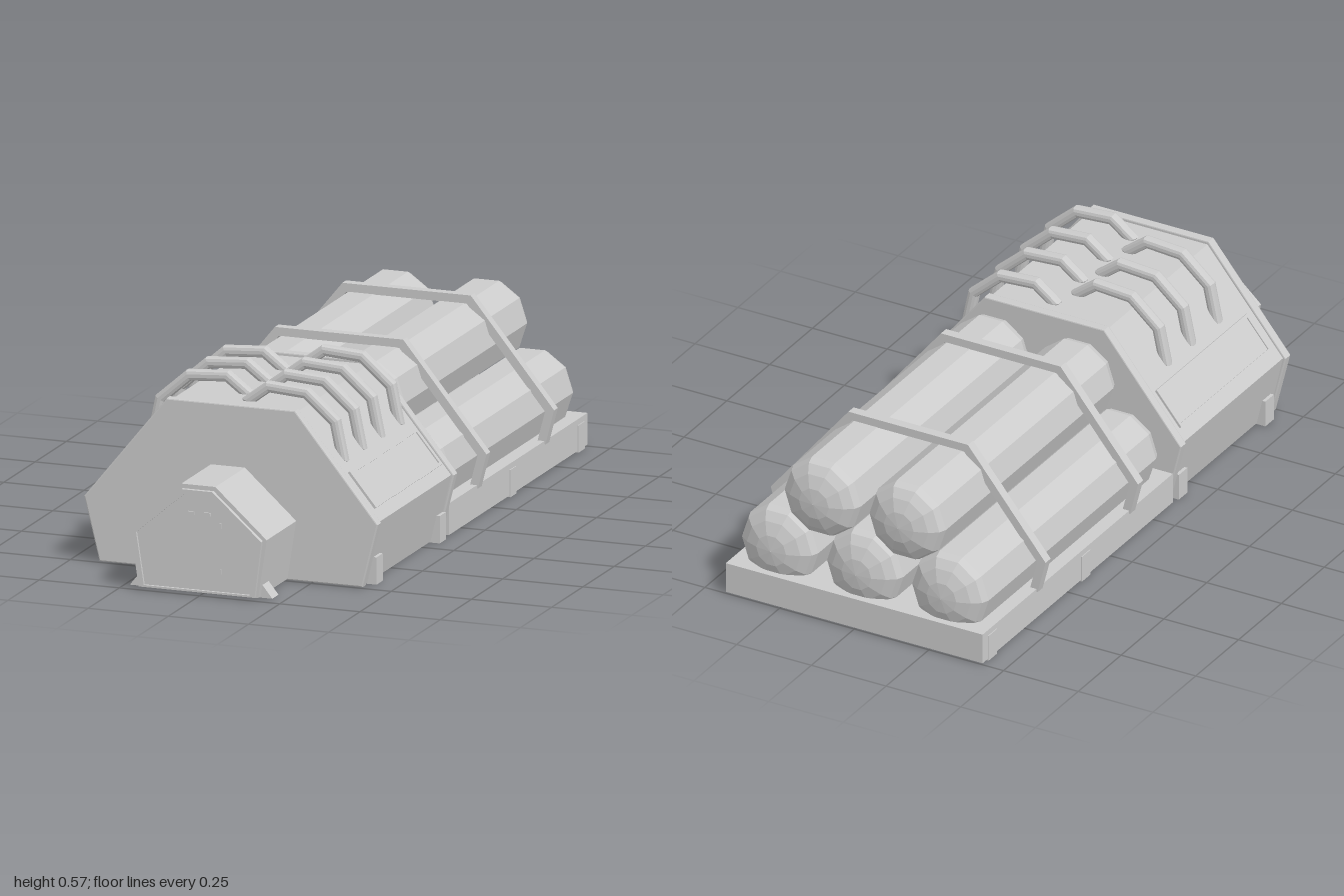
import * as THREE from 'three';

const material = new THREE.MeshStandardMaterial({ color: 0xcccccc, flatShading: true, side: THREE.DoubleSide });

function add(parent, name, geometry, x = 0, y = 0, z = 0) {
  const mesh = new THREE.Mesh(geometry, material);
  mesh.name = name;
  mesh.position.set(x, y, z);
  parent.add(mesh);
  return mesh;
}

const box = (w, h, d) => new THREE.BoxGeometry(w, h, d);

// Symmetric outline from the points of its +x half, listed bottom to top
const mirrored = (half) => [...half, ...half.map(([x, y]) => [-x, y]).reverse()];
const toShape = (pts) => new THREE.Shape(pts.map(([x, y]) => new THREE.Vector2(x, y)));

// Extrusion along z, centred on z = 0
function slab(pts, depth, bevel = 0, hole = null) {
  const shape = toShape(pts);
  if (hole) shape.holes.push(toShape(hole));
  const g = new THREE.ExtrudeGeometry(shape, {
    depth: depth - 2 * bevel, bevelEnabled: bevel > 0, bevelSize: bevel,
    bevelThickness: bevel, bevelOffset: -bevel, bevelSegments: 2,
  });
  return g.translate(0, 0, bevel - depth / 2);
}

// Closed band outline: a counter-clockwise path plus its inward mitred offset
function band(path, t) {
  const p = path.map(([x, y]) => new THREE.Vector2(x, y));
  const normal = (a, b) => new THREE.Vector2(a.y - b.y, b.x - a.x).normalize();
  const inner = p.map((v, i) => {
    const n1 = normal(p[Math.max(i - 1, 0)], p[Math.max(i, 1)]);
    const last = p.length - 1;
    const n2 = normal(p[Math.min(i, last - 1)], p[Math.min(i + 1, last)]);
    const m = n1.clone().add(n2).normalize();
    m.multiplyScalar(t / m.dot(n1)).add(v);
    return [m.x, m.y];
  });
  return [...path, ...inner.reverse()];
}

function buildHall(root) {
  const hall = new THREE.Group();
  hall.name = 'hall';
  root.add(hall);

  // Open-bottomed shell between two slightly larger end walls
  const shell = mirrored([[0.404, 0.003], [0.449, 0.195], [0.196, 0.503]]);
  const wall = mirrored([[0.41, 0.003], [0.458, 0.195], [0.2, 0.513]]);
  add(hall, 'hallShell', slab(band(shell, 0.012), 0.6), 0, 0, 0.43);
  add(hall, 'frontWall', slab(wall, 0.03, 0.004), 0, 0, 0.735);
  add(hall, 'rearWall', slab(wall, 0.03, 0.004), 0, 0, 0.125);
  const doorway = mirrored([[0.15, 0.02], [0.18, 0.17], [0.045, 0.29]]);
  add(hall, 'innerDoor', slab(doorway, 0.006), 0, 0, 0.718);

  // Framed panels on the sloping sides
  const tilt = Math.atan2(0.308, 0.253);
  for (const side of [1, -1]) {
    const panel = new THREE.Group();
    panel.name = side > 0 ? 'leftPanel' : 'rightPanel';
    panel.position.set(side * 0.383, 0.276, 0.425);
    panel.rotation.z = -side * tilt;
    hall.add(panel);
    add(panel, 'panelPlate', box(0.11, 0.006, 0.51));
    for (const e of [1, -1]) {
      add(panel, 'panelLongEdge', box(0.01, 0.014, 0.53), e * 0.06);
      add(panel, 'panelShortEdge', box(0.13, 0.014, 0.01), 0, 0, e * 0.26);
    }
  }

  // Bent roof pipes, staggered between the two sides
  const bend = [[0.326, 0.35], [0.3, 0.472], [0.203, 0.557], [0.073, 0.566], [-0.004, 0.508]];
  const pipe = slab(band(bend, 0.032), 0.036, 0.011);
  for (const z of [0.2, 0.355, 0.5, 0.645]) add(hall, 'leftRoofPipe', pipe, 0, 0, z);
  for (const z of [0.28, 0.42, 0.575]) add(hall, 'rightRoofPipe', pipe, 0, 0, z).rotation.y = Math.PI;
}

function buildEntrance(root) {
  const entrance = new THREE.Group();
  entrance.name = 'entrance';
  entrance.position.x = -0.009;
  root.add(entrance);

  const outer = mirrored([[0.186, 0.007], [0.213, 0.183], [0.053, 0.328]]);
  const rim = mirrored([[0.18, 0.01], [0.201, 0.179], [0.048, 0.315]]);
  const inner = mirrored([[0.165, 0.016], [0.189, 0.173], [0.042, 0.299]]);
  add(entrance, 'entranceBody', slab(outer, 0.238), 0, 0, 0.868);
  add(entrance, 'doorFrame', slab(rim, 0.013, 0, inner), 0, 0, 0.9935);
  add(entrance, 'door', slab(inner, 0.006), 0, 0, 0.989);

  // Door windows and hinges
  for (const x of [-0.02, 0.031]) add(entrance, 'doorWindow', box(0.02, 0.01, 0.006), x, 0.245, 0.994);
  for (const y of [0.077, 0.213]) add(entrance, 'doorHinge', box(0.005, 0.016, 0.006), 0.072, y, 0.993);

  // Wedge feet
  for (const s of [1, -1]) {
    const foot = [[s * 0.17, 0.003], [s * 0.222, 0.003], [s * 0.191, 0.042]];
    add(entrance, 'entranceFoot', slab(foot, 0.05), 0, 0, 0.94);
  }
}

function buildPlatform(root) {
  const platform = new THREE.Group();
  platform.name = 'platform';
  root.add(platform);

  // Hollow tray: deck, sides, and cross ribs below
  add(platform, 'deck', box(0.86, 0.012, 1.11), 0, 0.094, -0.445);
  for (const s of [1, -1]) add(platform, 'sideRail', box(0.012, 0.095, 1.11), s * 0.424, 0.0525, -0.445);
  for (const z of [-0.994, 0.104]) add(platform, 'endRail', box(0.86, 0.095, 0.012), 0, 0.0525, z);
  for (const z of [-0.76, -0.58, -0.22, -0.03]) add(platform, 'crossRib', box(0.84, 0.08, 0.03), 0, 0.05, z);

  // Cross beams whose ends show as feet
  for (const z of [0.67, 0.165, -0.4, -0.945]) {
    add(platform, 'crossBeam', box(0.864, 0.055, 0.05), 0, 0.0275, z);
    for (const s of [1, -1]) add(platform, 'beamFoot', box(0.02, 0.082, 0.05), s * 0.423, 0.041, z);
  }
}

function buildTanks(root) {
  const tanks = new THREE.Group();
  tanks.name = 'tanks';
  root.add(tanks);

  // Ten-sided tank with shallow domed ends
  const end = [[0.001, 0.55], [0.05, 0.545], [0.09, 0.53], [0.117, 0.511], [0.126, 0.488]];
  const profile = [...end.map(([r, l]) => [r, -l]), ...end.slice().reverse()];
  const tank = new THREE.LatheGeometry(profile.map(([r, l]) => new THREE.Vector2(r, l)), 10);
  tank.rotateY(Math.PI / 2).rotateX(Math.PI / 2);
  for (const x of [-0.285, 0, 0.285]) add(tanks, 'lowerTank', tank, x, 0.175, -0.443);
  for (const x of [-0.142, 0.142]) add(tanks, 'upperTank', tank, x, 0.37, -0.443);

  // Hoops holding the tanks down
  const hoop = mirrored([[0.433, 0.09], [0.46, 0.195], [0.2, 0.515]]);
  for (const z of [-0.13, -0.67]) add(tanks, 'hoop', slab(band(hoop, 0.026), 0.03), 0, 0, z);
}

export function createModel() {
  const model = new THREE.Group();
  model.name = 'storageModule';
  buildHall(model);
  buildEntrance(model);
  buildPlatform(model);
  buildTanks(model);
  return model;
}
